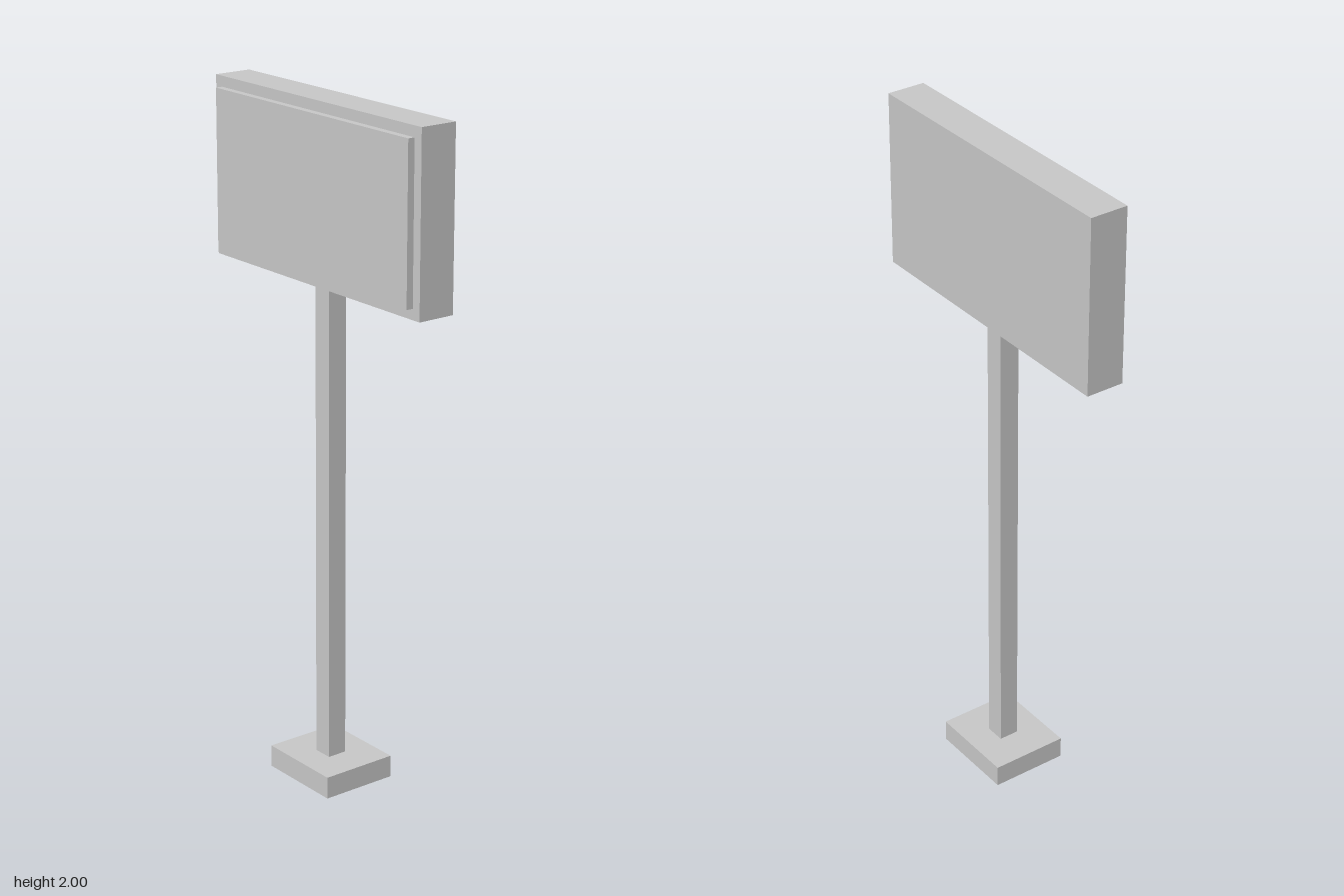
import * as THREE from 'three';

export function createModel() {
  const group = new THREE.Group();
  group.name = 'billboard';
  const grey = new THREE.MeshStandardMaterial({ color: 0xc8c8c8 });
  grey.name = 'light grey';

  // Box from its size, standing on height y0 and reaching y1
  function addBox(name, width, depth, y0, y1, z = 0) {
    const mesh = new THREE.Mesh(new THREE.BoxGeometry(width, y1 - y0, depth), grey);
    mesh.name = name;
    mesh.position.set(0, (y0 + y1) / 2, z);
    group.add(mesh);
  }

  addBox('basePlate', 0.268, 0.233, 0, 0.066);
  addBox('pole', 0.06, 0.06, 0.066, 1.484);
  addBox('signCabinet', 0.898, 0.114, 1.484, 2);
  // Raised display panel on the front of the cabinet
  addBox('displayPanel', 0.842, 0.021, 1.515, 1.969, 0.0675);

  return group;
}
